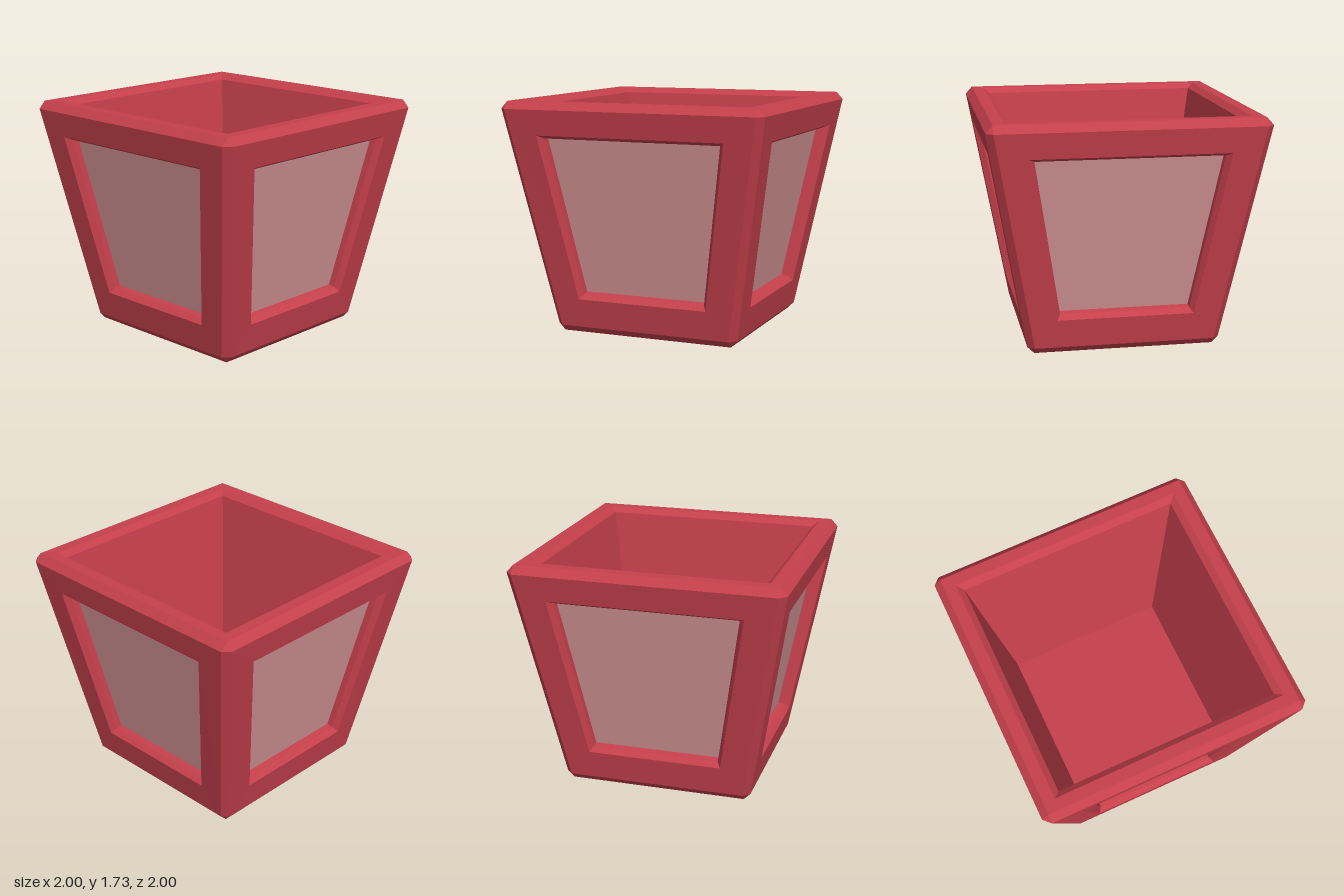
import * as THREE from 'three';

// Flat-faced mesh from polygons (triangles or quads, counter-clockwise from outside)
function facets(name, polygons, material) {
  const positions = [];
  for (const p of polygons) {
    for (let i = 1; i < p.length - 1; i++) positions.push(...p[0], ...p[i], ...p[i + 1]);
  }
  const geometry = new THREE.BufferGeometry();
  geometry.setAttribute('position', new THREE.Float32BufferAttribute(positions, 3));
  geometry.computeVertexNormals();
  const mesh = new THREE.Mesh(geometry, material);
  mesh.name = name;
  return mesh;
}

// Trapezoid across the front between two rows of [half width, y, z]
const span = ([w0, y0, z0], [w1, y1, z1]) =>
  [[-w0, y0, z0], [w0, y0, z0], [w1, y1, z1], [-w1, y1, z1]];

// Four quads joining an outer loop to an inner loop
const ring = (outer, inner) => outer.map((p, i) => {
  const j = (i + 1) % 4;
  return [p, outer[j], inner[j], inner[i]];
});

// Horizontal square facing up
const square = (w, y) => [[-w, y, w], [w, y, w], [w, y, -w], [-w, y, -w]];

export function createModel() {
  const red = new THREE.MeshStandardMaterial({ name: 'pot red', color: 0xc5404c });
  const pink = new THREE.MeshStandardMaterial({ name: 'panel dusty pink', color: 0xd49494 });

  // Rows of one wall, from the foot over the rim and down to the inner floor
  const foot = [0.66, 0, 0.66];
  const faceBottom = [0.71, 0.05, 0.71].with(0, 0.66);
  const faceTop = [0.95, 1.67, 1];
  const rimOuter = [0.95, 1.725, 0.95];
  const rimInner = [0.865, 1.725, 0.865];
  const wallTop = [0.82, 1.687, 0.82];
  const wallBottom = [0.6, 0.46, 0.6];

  // Slanted wall face, its opening, the bevel's inner edge and the sunken panel
  const face = span(faceBottom, faceTop);
  const opening = span([0.5, 0.265, 0.748], [0.71, 1.485, 0.967]);
  const bevelEnd = span([0.475, 0.301, 0.711], [0.67, 1.462, 0.919]);
  const panel = bevelEnd.map(([x, y, z]) => [x, y + 0.009, z - 0.049]);

  // Bevelled corner post: the side's end points mirrored across the diagonal
  const swap = ([x, y, z]) => [z, y, x];
  const corner = [
    [faceBottom, swap(faceBottom), swap(faceTop), faceTop],
    [faceTop, swap(faceTop), rimOuter],
    [swap(faceBottom), faceBottom, foot],
  ];

  const pot = new THREE.Group();
  pot.name = 'squarePlanter';
  for (let i = 0; i < 4; i++) {
    const side = new THREE.Group();
    side.name = 'side' + (i + 1);
    side.rotation.y = i * Math.PI / 2;
    side.add(
      facets('wallFrame', ring(face, opening), red),
      facets('panelBevel', ring(opening, bevelEnd), red),
      facets('panelRecess', ring(bevelEnd, panel), red),
      facets('panel', [panel], pink),
      facets('footBevel', [span(foot, faceBottom)], red),
      facets('rim', [span(faceTop, rimOuter), span(rimOuter, rimInner), span(rimInner, wallTop)], red),
      facets('innerWall', [span(wallTop, wallBottom)], red),
      facets('cornerBevel', corner, red),
    );
    pot.add(side);
  }
  pot.add(facets('innerFloor', [square(0.6, 0.46)], red));
  pot.add(facets('base', [square(0.66, 0).reverse()], red));
  return pot;
}
